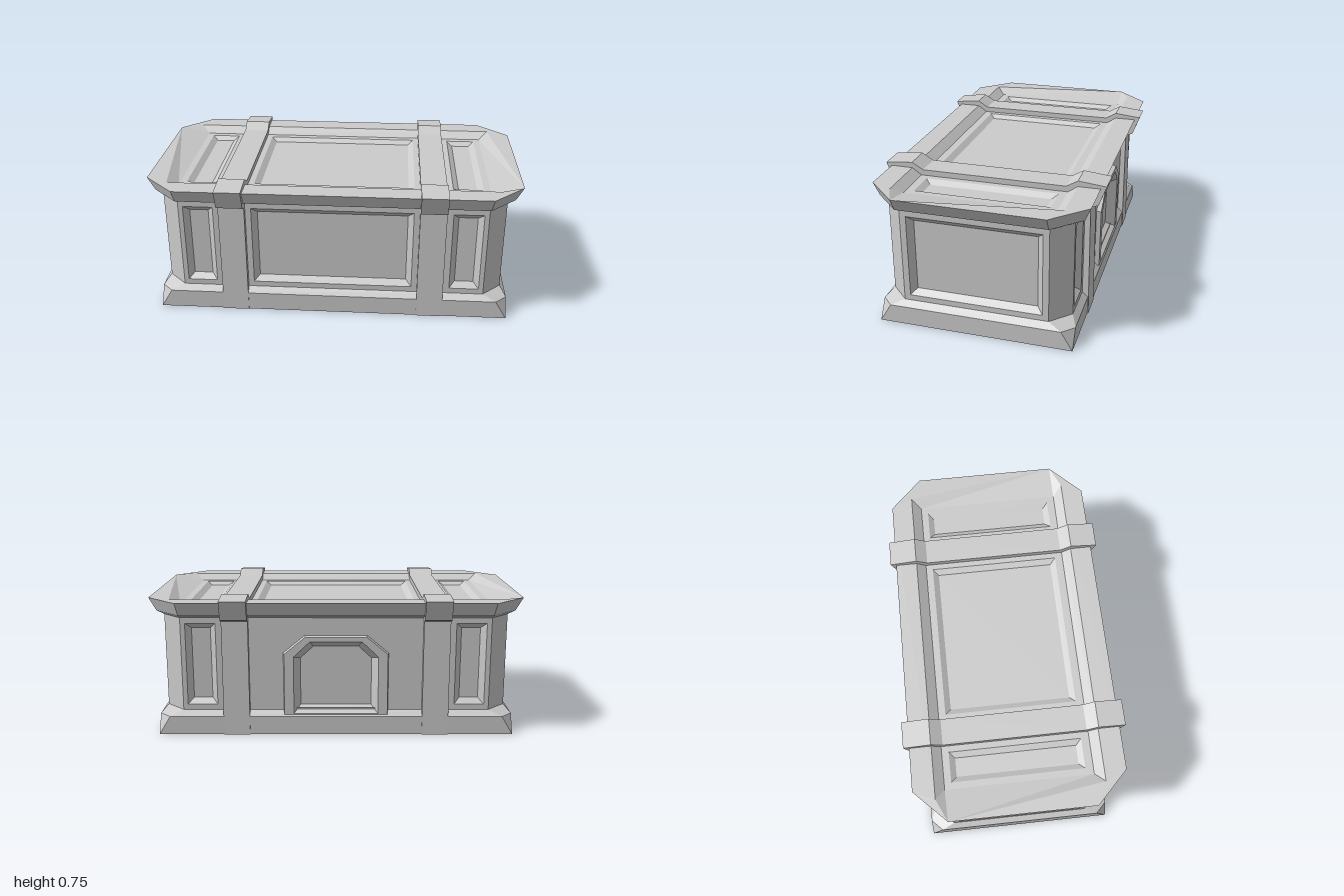
import * as THREE from 'three';
import { mergeGeometries } from 'three/addons/utils/BufferGeometryUtils.js';

const material = new THREE.MeshStandardMaterial({ color: 0xcccccc, flatShading: true });

// Flat geometry from convex polygons, corners counter-clockwise
function facets(polys) {
  const pos = [];
  for (const p of polys)
    for (let i = 1; i < p.length - 1; i++) pos.push(...p[0], ...p[i], ...p[i + 1]);
  const g = new THREE.BufferGeometry();
  g.setAttribute('position', new THREE.Float32BufferAttribute(pos, 3));
  g.computeVertexNormals();
  return g;
}

// Quads joining successive loops of equal length
function loft(loops) {
  const polys = [];
  for (let k = 0; k < loops.length - 1; k++) {
    const a = loops[k], b = loops[k + 1];
    a.forEach((p, i) => {
      const j = (i + 1) % a.length;
      polys.push([p, a[j], b[j], b[i]]);
    });
  }
  return polys;
}

// Horizontal rectangle with cut corners
const octagon = (x, z, c, y) => [
  [-x + c, y, z], [x - c, y, z], [x, y, z - c], [x, y, -z + c],
  [x - c, y, -z], [-x + c, y, -z], [-x, y, -z + c], [-x, y, z - c],
];

const rect = (x0, x1, y0, y1) => [[x0, y0], [x1, y0], [x1, y1], [x0, y1]];
const atZ = (pts, z) => pts.map(([x, y]) => [x, y, z]);

// Recessed panel: opening, sloped edges and sunken floor
function panel(x0, x1, y0, y1, depth, inset = 0.03) {
  const hole = rect(x0, x1, y0, y1);
  const floor = atZ(rect(x0 + inset, x1 - inset, y0 + inset, y1 - inset), -depth);
  return { hole, polys: [...loft([atZ(hole, 0), floor]), floor] };
}

// Flat wall facing +z with panels let into it
function wall(outline, panels) {
  const vec = (pts) => pts.map(([x, y]) => new THREE.Vector2(x, y));
  const shape = new THREE.Shape(vec(outline));
  panels.forEach((p) => shape.holes.push(new THREE.Path(vec(p.hole))));
  const face = new THREE.ShapeGeometry(shape).toNonIndexed();
  face.deleteAttribute('uv');
  return mergeGeometries([face, facets(panels.flatMap((p) => p.polys))]);
}

// Arch outline with cut upper corners
const arch = (w, y0, y1, y2, wTop) => [[-w, y0], [w, y0], [w, y1], [wTop, y2], [-wTop, y2], [-w, y1]];

export function createModel() {
  const group = new THREE.Group();
  const add = (name, geometry) => {
    const mesh = new THREE.Mesh(geometry, material);
    mesh.name = name;
    group.add(mesh);
    return mesh;
  };

  // Plinth, square at the floor and cut at the corners above
  const bottom = octagon(0.95, 0.51, 0, 0);
  add('plinth', facets([
    ...loft([bottom, octagon(0.95, 0.51, 0.06, 0.1), octagon(0.92, 0.48, 0.1, 0.13)]),
    [...bottom].reverse(),
  ]));

  // Body walls
  const y0 = 0.13, y1 = 0.64;
  const longOutline = rect(-0.82, 0.82, y0, y1);
  const smallPanels = [panel(-0.795, -0.635, 0.16, 0.605, 0.03), panel(0.635, 0.795, 0.16, 0.605, 0.03)];
  add('frontWall', wall(longOutline, [...smallPanels, panel(-0.43, 0.43, 0.16, 0.605, 0.03)]))
    .position.z = 0.48;

  // Back wall with a raised arched surround and niche
  const nicheFloor = atZ(arch(0.19, 0.15, 0.41, 0.475, 0.12), -0.03);
  const niche = {
    hole: arch(0.22, 0.14, 0.425, 0.505, 0.135),
    polys: [
      ...loft([
        atZ(arch(0.28, 0.11, 0.445, 0.54, 0.165), 0),
        atZ(arch(0.275, 0.11, 0.442, 0.535, 0.163), 0.025),
        atZ(arch(0.225, 0.115, 0.428, 0.51, 0.138), 0.025),
        nicheFloor,
      ]),
      nicheFloor,
    ],
  };
  const back = add('backWall', wall(longOutline, [...smallPanels, niche]));
  back.rotation.y = Math.PI;
  back.position.z = -0.48;

  for (const s of [1, -1]) {
    const end = add(s > 0 ? 'leftWall' : 'rightWall',
      wall(rect(-0.38, 0.38, y0, y1), [panel(-0.348, 0.348, 0.16, 0.605, 0.03)]));
    end.rotation.y = s * Math.PI / 2;
    end.position.x = s * 0.92;
  }

  // Cut corners of the body
  const low = octagon(0.92, 0.48, 0.1, y0), high = octagon(0.92, 0.48, 0.1, y1);
  add('bodyCorners', facets([1, 3, 5, 7].map((i) => {
    const j = (i + 1) % 8;
    return [low[i], low[j], high[j], high[i]];
  })));

  // Lid edge
  add('lidEdge', facets(loft([
    octagon(0.92, 0.48, 0.1, 0.635), octagon(0.96, 0.525, 0.14, 0.655), octagon(1, 0.555, 0.17, 0.725),
  ])));

  // Lid rim, sloped inwards to a sunken middle
  const t = 0.725, f = 0.69;
  const half = [
    [[-0.83, t, 0.555], [0.83, t, 0.555], [0.88, t, 0.44], [-0.88, t, 0.44]],
    [[0.88, t, 0.44], [0.83, t, 0.555], [1, t, 0.385]],
    [[-0.88, t, 0.44], [-1, t, 0.385], [-0.83, t, 0.555]],
    [[-0.88, t, 0.44], [0.88, t, 0.44], [0.83, f, 0.39], [-0.83, f, 0.39]],
    [[1, t, 0.385], [1, t, -0.385], [0.88, t, -0.44], [0.83, f, -0.39], [0.83, f, 0.39], [0.88, t, 0.44]],
  ];
  const turned = half.map((p) => p.map(([x, y, z]) => [-x, y, -z]));
  add('lidRim', facets([...half, ...turned]));

  // Lid middle with three panels
  const top = add('lidTop', wall(rect(-0.83, 0.83, -0.39, 0.39), [
    panel(-0.43, 0.43, -0.348, 0.353, 0.02),
    panel(-0.795, -0.635, -0.348, 0.353, 0.02),
    panel(0.635, 0.795, -0.348, 0.353, 0.02),
  ]));
  top.rotation.x = -Math.PI / 2;
  top.position.y = f;

  // Bands wrapped over the front, lid and back
  const outer = [[0.515, 0], [0.508, 0.62], [0.547, 0.635], [0.585, 0.74], [0.44, 0.755], [0.38, 0.72]];
  const inner = [[0.36, 0.66], [0.42, 0.62], [0.42, 0]];
  const mirror = (pts) => pts.map(([z, y]) => [-z, y]).reverse();
  const profile = [...outer, ...mirror(outer), ...mirror(inner), ...inner];
  const bandShape = new THREE.Shape(profile.map(([z, y]) => new THREE.Vector2(z, y)));
  for (const s of [1, -1]) {
    const g = new THREE.ExtrudeGeometry(bandShape, { depth: 0.14, bevelEnabled: false });
    g.rotateY(-Math.PI / 2);
    g.translate(s * 0.531 + 0.07, 0, 0);
    add(s > 0 ? 'leftBand' : 'rightBand', g);
  }
  return group;
}
